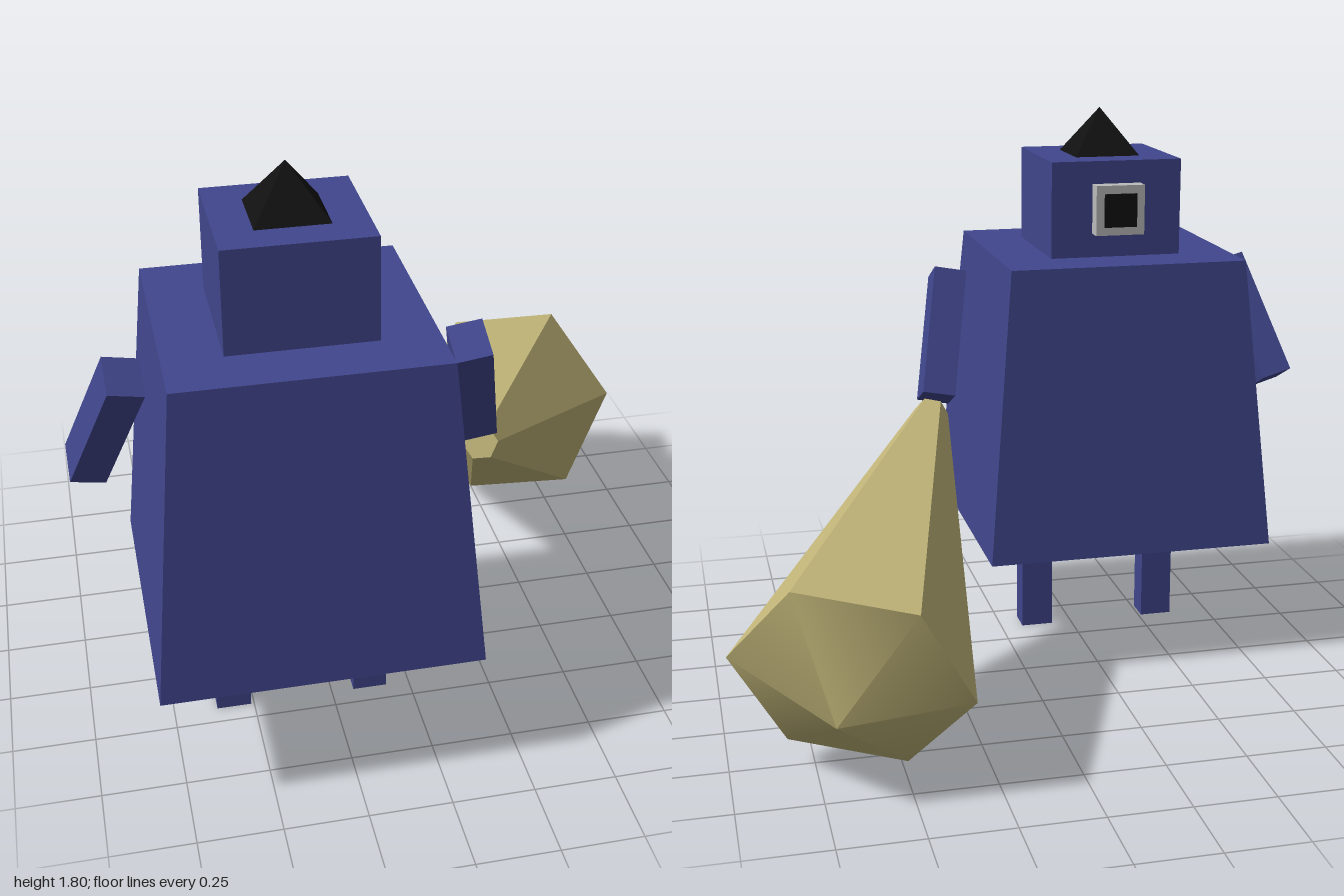
import * as THREE from 'three';

const paint = (color) => new THREE.MeshStandardMaterial({ color, flatShading: true });

export function createModel() {
  const model = new THREE.Group();
  const blue = paint(0x40468c);
  const black = paint(0x111111);
  const grey = paint(0xbbbbbb);
  const tan = paint(0xc0b478);
  const smoothTan = new THREE.MeshStandardMaterial({ color: 0xc0b478 });

  const add = (parent, name, geometry, material, x, y, z) => {
    const mesh = new THREE.Mesh(geometry, material);
    mesh.name = name;
    mesh.position.set(x, y, z);
    parent.add(mesh);
    return mesh;
  };
  // Square frustum given by its half widths
  const frustum = (top, bottom, height) =>
    new THREE.CylinderGeometry(top * Math.SQRT2, bottom * Math.SQRT2, height, 4).rotateY(Math.PI / 4);

  // Figure, facing -z
  const figure = new THREE.Group();
  figure.name = 'figure';
  figure.position.set(-0.345, 0, 0.395);
  model.add(figure);

  add(figure, 'body', frustum(0.385, 0.47, 0.94), blue, 0, 0.87, 0);
  add(figure, 'head', new THREE.BoxGeometry(0.43, 0.31, 0.43), blue, 0, 1.495, 0);
  add(figure, 'hat', frustum(0, 0.107, 0.15), black, 0, 1.725, 0);
  add(figure, 'eye', new THREE.BoxGeometry(0.16, 0.16, 0.05), grey, 0, 1.497, -0.24);
  add(figure, 'pupil', new THREE.BoxGeometry(0.107, 0.107, 0.02), black, 0, 1.497, -0.262);
  for (const side of [-1, 1]) {
    add(figure, 'leg', new THREE.BoxGeometry(0.107, 0.4, 0.085), blue, side * 0.218, 0.2, 0);
  }

  // Arms: boxes aligned to a shoulder-to-hand axis and a width direction
  const arm = (name, shoulder, hand, width) => {
    const top = new THREE.Vector3(...shoulder);
    const bottom = new THREE.Vector3(...hand);
    const up = top.clone().sub(bottom);
    const length = up.length();
    up.normalize();
    const across = new THREE.Vector3(...width).projectOnPlane(up).normalize();
    const depth = across.clone().cross(up);
    const mid = top.add(bottom).multiplyScalar(0.5);
    const mesh = add(model, name, new THREE.BoxGeometry(0.107, length, 0.13), blue, mid.x, mid.y, mid.z);
    mesh.quaternion.setFromRotationMatrix(new THREE.Matrix4().makeBasis(across, up, depth));
  };
  arm('leftArm', [0.155, 1.245, 0.49], [0.233, 0.867, 0.3], [0.11, 0.025, 0.01]);
  arm('rightArm', [-0.825, 1.245, 0.49], [-0.945, 0.867, 0.3], [0.11, -0.025, -0.015]);

  // Club: six-sided, widening away from the hand, with a shallow pointed end
  const club = new THREE.Group();
  club.name = 'club';
  const grip = new THREE.Vector3(0.24, 0.81, 0.345);
  const end = new THREE.Vector3(0.657, 0.334, -0.675);
  const axis = end.clone().sub(grip);
  const length = axis.length();
  axis.normalize();
  const corner = new THREE.Vector3(0.338, 0.055, 0.115).projectOnPlane(axis).normalize();
  club.quaternion.setFromRotationMatrix(
    new THREE.Matrix4().makeBasis(axis.clone().cross(corner), axis, corner));
  club.position.copy(grip);
  model.add(club);
  const shaft = new THREE.CylinderGeometry(0.36, 0.055, length, 6, 1, true);
  add(club, 'clubShaft', shaft, tan, 0, length / 2, 0);
  add(club, 'clubGripEnd', new THREE.CircleGeometry(0.055, 6, Math.PI / 2).rotateX(Math.PI / 2), tan, 0, 0, 0);
  add(club, 'clubTip', new THREE.ConeGeometry(0.36, 0.177, 6, 1, true), smoothTan, 0, length + 0.0885, 0);

  return model;
}
